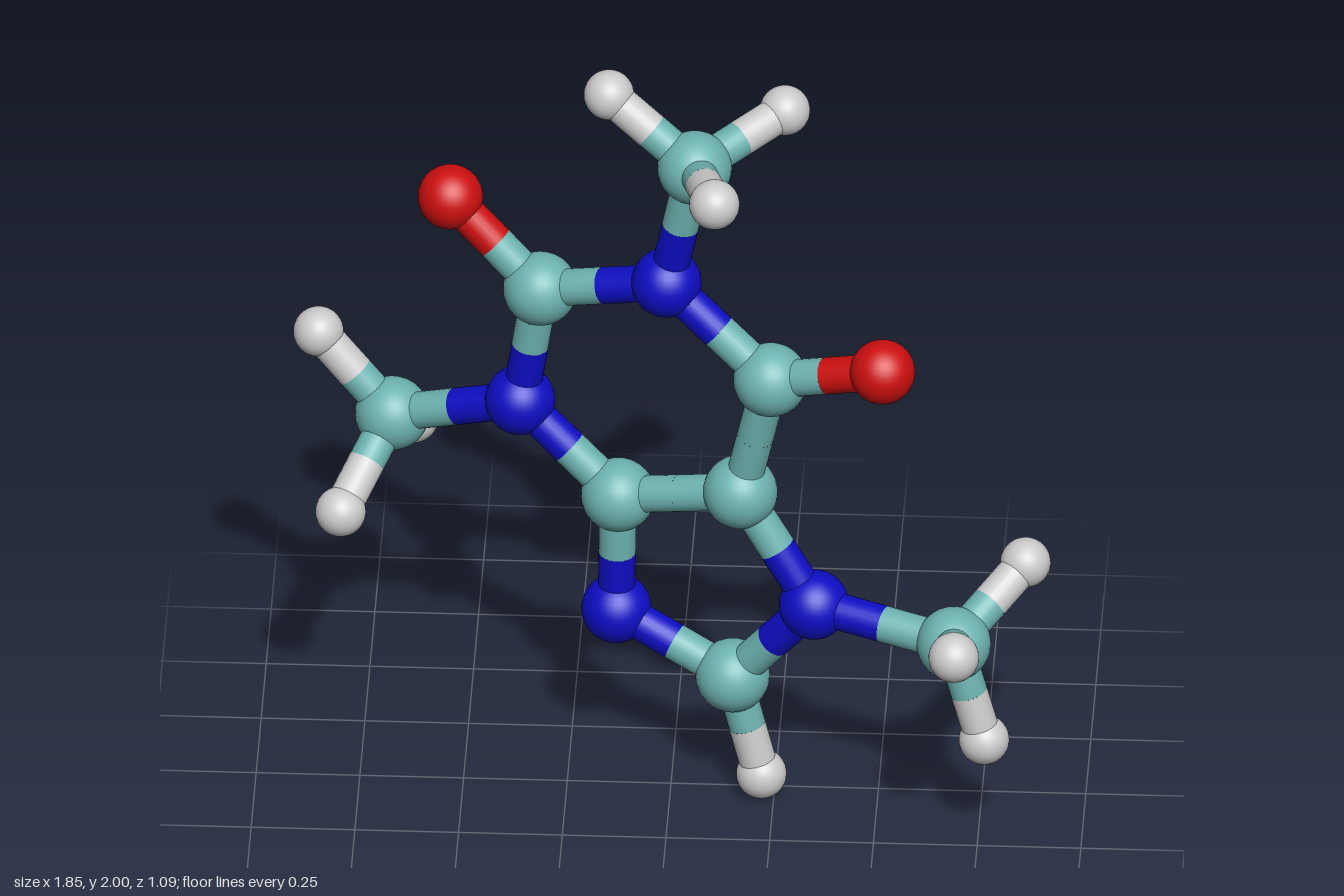
import * as THREE from 'three';

// Elements: ball radius and colour
const ELEMENTS = {
  carbon: { radius: 0.09, color: 0x6db3b1 },
  nitrogen: { radius: 0.085, color: 0x0d0dc4 },
  oxygen: { radius: 0.079, color: 0xcc0f0f },
  hydrogen: { radius: 0.061, color: 0xcccccc },
};
const BOND_RADIUS = 0.045;

// Atoms: element and position
const ATOMS = {
  topNitrogen: ['nitrogen', -0.01, 1.43, 0.02],
  rightCarbonyl: ['carbon', -0.32, 1.33, -0.1],
  rightOxygen: ['oxygen', -0.54, 1.54, -0.17],
  rightNitrogen: ['nitrogen', -0.37, 0.995, -0.13],
  rightJunction: ['carbon', -0.13, 0.78, -0.055],
  leftJunction: ['carbon', 0.17, 0.865, 0.055],
  leftCarbonyl: ['carbon', 0.245, 1.215, 0.105],
  leftOxygen: ['oxygen', 0.52, 1.31, 0.21],
  leftNitrogen: ['nitrogen', 0.35, 0.585, 0.11],
  bottomCarbon: ['carbon', 0.15, 0.33, 0.03],
  lowerNitrogen: ['nitrogen', -0.135, 0.45, -0.07],
  bottomHydrogen: ['hydrogen', 0.22, 0.062, 0.043],
  topMethyl: ['carbon', 0.06, 1.785, 0.065],
  topHydrogenA: ['hydrogen', -0.15, 1.939, -0.01],
  topHydrogenB: ['hydrogen', 0.27, 1.855, -0.095],
  topHydrogenC: ['hydrogen', 0.12, 1.84, 0.32],
  rightMethyl: ['carbon', -0.685, 0.865, -0.265],
  rightHydrogenA: ['hydrogen', -0.865, 1.06, -0.315],
  rightHydrogenB: ['hydrogen', -0.8, 0.7, -0.075],
  rightHydrogenC: ['hydrogen', -0.645, 0.717, -0.485],
  leftMethyl: ['carbon', 0.693, 0.565, 0.24],
  leftHydrogenA: ['hydrogen', 0.858, 0.695, 0.07],
  leftHydrogenB: ['hydrogen', 0.705, 0.677, 0.485],
  leftHydrogenC: ['hydrogen', 0.767, 0.305, 0.255],
};

const BONDS = [
  // six-sided ring
  ['topNitrogen', 'rightCarbonyl'], ['rightCarbonyl', 'rightNitrogen'],
  ['rightNitrogen', 'rightJunction'], ['rightJunction', 'leftJunction'],
  ['leftJunction', 'leftCarbonyl'], ['leftCarbonyl', 'topNitrogen'],
  // five-sided ring
  ['leftJunction', 'leftNitrogen'], ['leftNitrogen', 'bottomCarbon'],
  ['bottomCarbon', 'lowerNitrogen'], ['lowerNitrogen', 'rightJunction'],
  // single side atoms
  ['rightCarbonyl', 'rightOxygen'], ['leftCarbonyl', 'leftOxygen'],
  ['bottomCarbon', 'bottomHydrogen'],
];
// methyl groups
for (const side of ['top', 'right', 'left']) {
  BONDS.push([`${side}Nitrogen`, `${side}Methyl`]);
  for (const letter of 'ABC') BONDS.push([`${side}Methyl`, `${side}Hydrogen${letter}`]);
}

export function createModel() {
  const model = new THREE.Group();
  model.name = 'ballAndStickMolecule';

  const materials = {}, balls = {};
  for (const [element, { radius, color }] of Object.entries(ELEMENTS)) {
    materials[element] = new THREE.MeshStandardMaterial({ color });
    balls[element] = new THREE.SphereGeometry(radius, 32, 20);
  }
  const stick = new THREE.CylinderGeometry(BOND_RADIUS, BOND_RADIUS, 1, 24, 1, true);
  const up = new THREE.Vector3(0, 1, 0);
  const position = (name) => new THREE.Vector3(...ATOMS[name].slice(1));

  // Balls
  for (const [name, [element]] of Object.entries(ATOMS)) {
    const ball = new THREE.Mesh(balls[element], materials[element]);
    ball.name = name;
    ball.position.copy(position(name));
    model.add(ball);
  }

  // Half a stick, from an atom to the middle of its bond, in that atom's colour
  function halfBond(from, to) {
    const start = position(from);
    const middle = start.clone().lerp(position(to), 0.5);
    const along = middle.clone().sub(start);
    const mesh = new THREE.Mesh(stick, materials[ATOMS[from][0]]);
    mesh.name = `${from}Bond`;
    mesh.scale.y = along.length();
    mesh.quaternion.setFromUnitVectors(up, along.normalize());
    mesh.position.copy(start).lerp(middle, 0.5);
    model.add(mesh);
  }
  for (const [a, b] of BONDS) {
    halfBond(a, b);
    halfBond(b, a);
  }
  return model;
}
